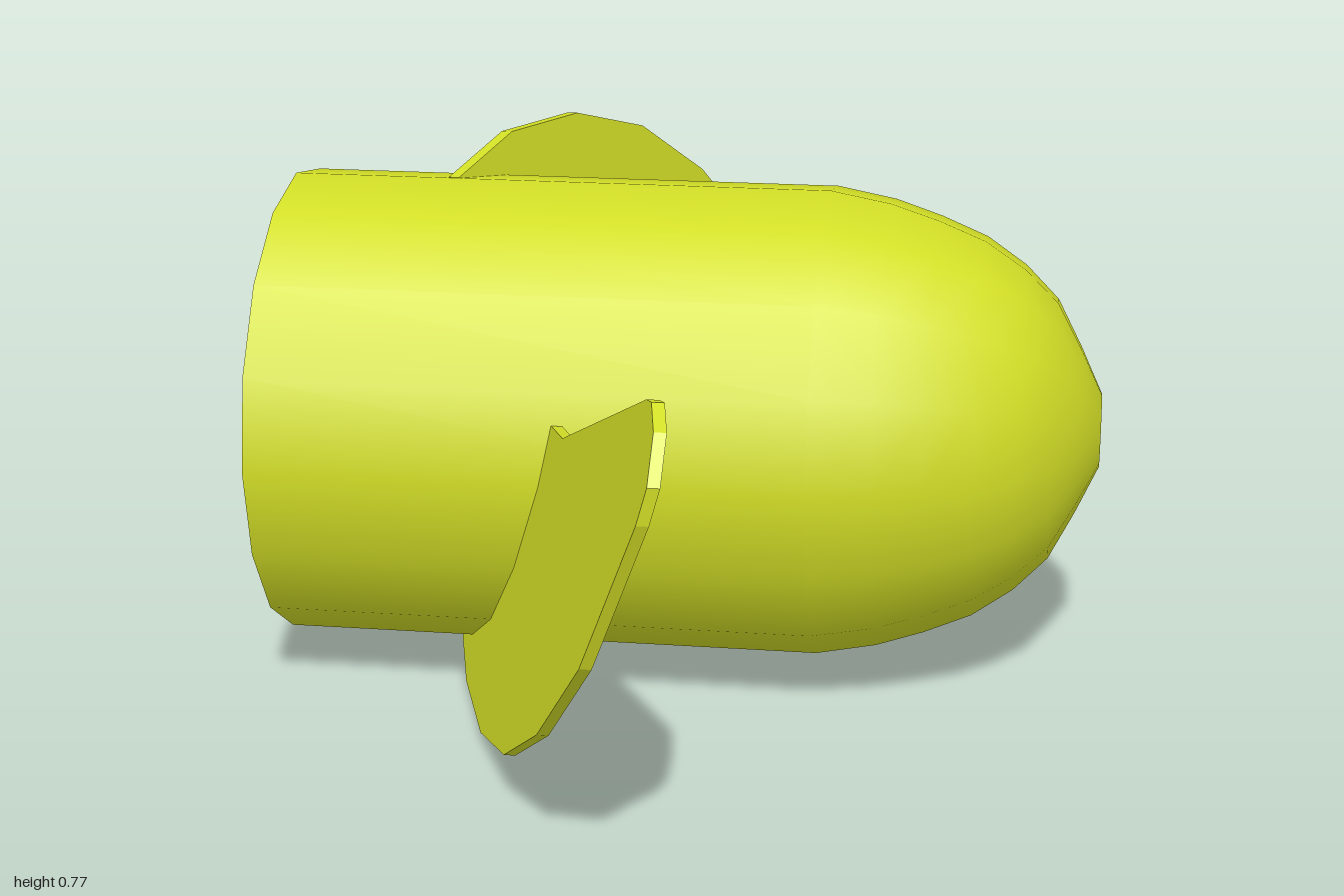
import * as THREE from 'three';

export function createModel() {
  const model = new THREE.Group();
  const lime = new THREE.MeshStandardMaterial({ color: 0xd2de26 });
  lime.name = 'lime';

  // Everything turns about the hub axis, which runs along x
  const propeller = new THREE.Group();
  propeller.name = 'propeller';
  propeller.position.set(0, 0.389, -0.002);
  propeller.rotation.y = -0.014;
  model.add(propeller);

  function add(name, geometry) {
    const mesh = new THREE.Mesh(geometry, lime);
    mesh.name = name;
    propeller.add(mesh);
    return mesh;
  }

  // Straight hub with a flat end
  const radius = 0.355, hubBack = -0.61, hubFront = 0.2;
  const hub = new THREE.CylinderGeometry(radius, radius, hubFront - hubBack, 16);
  hub.rotateZ(-Math.PI / 2).translate((hubFront + hubBack) / 2, 0, 0);
  add('hub', hub);

  // Rounded nose: radius, x
  const noseProfile = [
    [radius, hubFront], [0.338, 0.29], [0.315, 0.36], [0.286, 0.43], [0.245, 0.49],
    [0.195, 0.54], [0.125, 0.577], [0.055, 0.61], [0, 0.61],
  ].map(([r, x]) => new THREE.Vector2(r, x));
  add('nose', new THREE.LatheGeometry(noseProfile, 16).rotateZ(-Math.PI / 2));

  // Blade outline seen along the axis: z, y relative to the axis
  const outline = [
    [0, -0.356], [0.18, -0.386], [0.39, -0.37], [0.59, -0.305], [0.76, -0.19],
    [0.9, -0.03], [0.995, 0.2], [1, 0.25], [0.96, 0.305], [0.91, 0.325],
    [0.88, 0.318], [0.44, 0.106], [0.34, 0.088], [0.15, -0.05],
  ].map(([z, y]) => new THREE.Vector2(z, y));

  // Thin plate, sheared along x to give the blade its pitch and sweep
  const thickness = 0.016;
  const blade = new THREE.ExtrudeGeometry(new THREE.Shape(outline), {
    depth: thickness, bevelEnabled: false,
  });
  blade.rotateY(-Math.PI / 2);
  const p = blade.attributes.position;
  for (let i = 0; i < p.count; i++) {
    p.setX(i, p.getX(i) + thickness - 0.284 + 0.256 * p.getY(i) + 0.296 * p.getZ(i));
  }
  blade.computeVertexNormals();

  // Two blades, half a turn apart
  ['frontBlade', 'backBlade'].forEach((name, i) => {
    add(name, blade).rotation.x = i * Math.PI;
  });

  return model;
}
